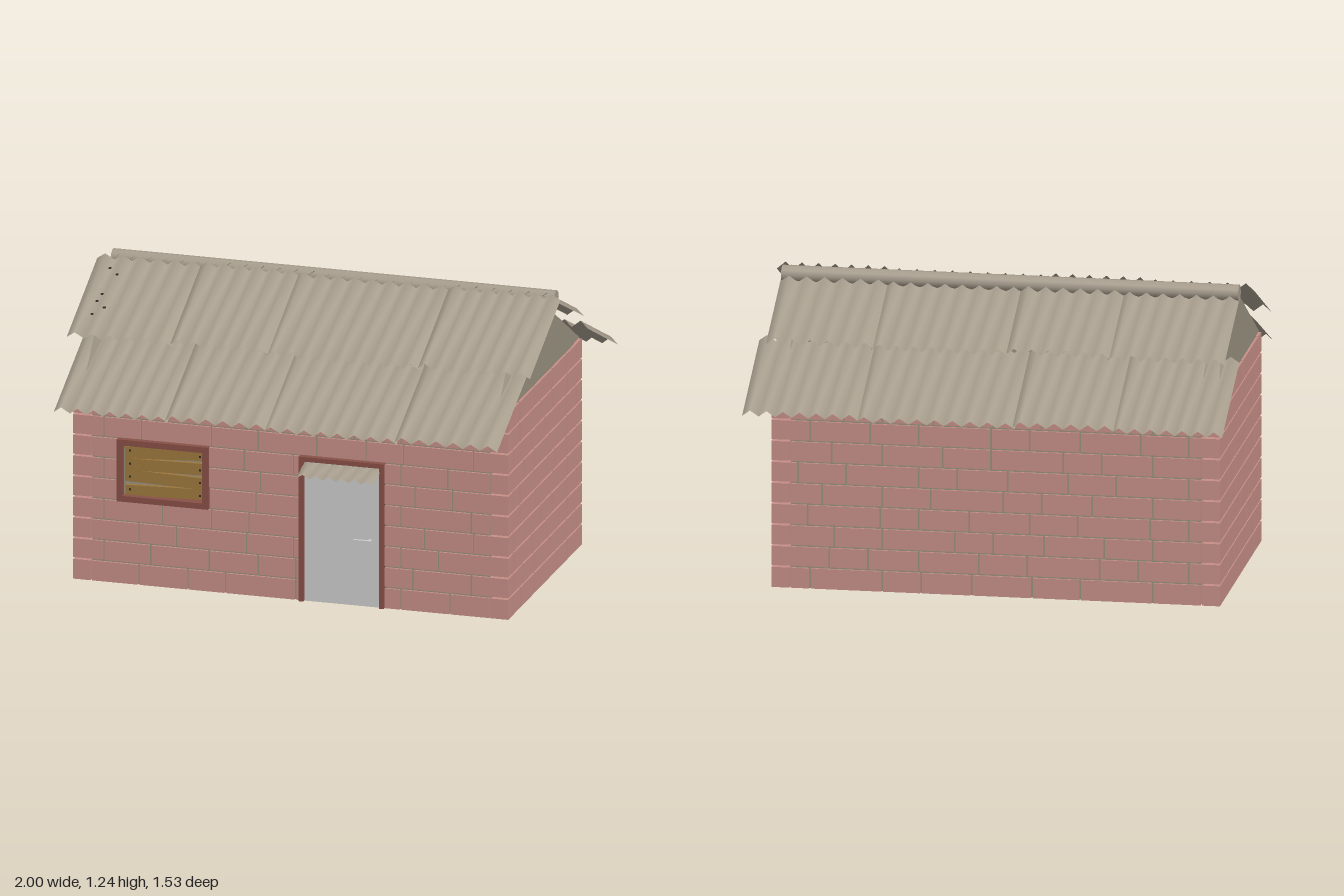
import * as THREE from 'three';

const mat = (color, side = THREE.FrontSide) => new THREE.MeshStandardMaterial({ color, side });
const brickMat = mat(0xc58e86), mortarMat = mat(0x968f7e), frameMat = mat(0x885046);
const plankMat = mat(0x9e783c), greyMat = mat(0xcccccc), holeMat = mat(0x2a2824);
const roofMat = mat(0xa69c8c, THREE.DoubleSide);

const X0 = -0.94, X1 = 0.92, Z0 = -0.505, Z1 = 0.53, H = 0.89, ROWS = 10;
const ROW = H / ROWS, DEPTH = 0.075, INSET = 0.01;

function add(parent, name, geometry, material) {
  const mesh = new THREE.Mesh(geometry, material);
  mesh.name = name;
  parent.add(mesh);
  return mesh;
}

// box given by its limits on each axis
function block(parent, name, material, x0, x1, y0, y1, z0, z1) {
  const mesh = add(parent, name, new THREE.BoxGeometry(x1 - x0, y1 - y0, z1 - z0), material);
  mesh.position.set((x0 + x1) / 2, (y0 + y1) / 2, (z0 + z1) / 2);
  return mesh;
}

function group(parent, name) {
  const g = new THREE.Group();
  g.name = name;
  parent.add(g);
  return g;
}

// zigzag sheet spanning x0..x1, running from [z, y] to [z, y] with z increasing
function sheet(parent, name, x0, x1, [za, ya], [zb, yb], amp = 0.015, period = 0.07) {
  const n = 2 * Math.max(1, Math.round((x1 - x0) / period));
  const len = Math.hypot(zb - za, yb - ya);
  const ny = (zb - za) / len, nz = -(yb - ya) / len;
  const pos = [], index = [];
  for (let i = 0; i <= n; i++) {
    const x = x0 + (x1 - x0) * i / n, d = i % 2 ? amp : -amp;
    pos.push(x, ya + d * ny, za + d * nz, x, yb + d * ny, zb + d * nz);
    if (i < n) {
      const a = 2 * i;
      index.push(a, a + 1, a + 2, a + 1, a + 3, a + 2);
    }
  }
  const geo = new THREE.BufferGeometry();
  geo.setAttribute('position', new THREE.Float32BufferAttribute(pos, 3));
  geo.setIndex(index);
  geo.computeVertexNormals();
  return add(parent, name, geo, roofMat);
}

// bricks of one row between a and b, leaving out the given openings
function brickRow(a, b, row, seed, openings, place) {
  const lengths = [0.21, 0.16, 0.3, 0.2, 0.25];
  let k = row * 3 + seed, start = a;
  let end = a + (row % 2 ? 0.13 : 0.2);
  while (start < b - 0.01) {
    if (b - end < 0.08) end = b;
    let pieces = [[start, end]];
    for (const [o0, o1, r0, r1] of openings) {
      if (row < r0 || row > r1) continue;
      pieces = pieces.flatMap(([p, q]) => [[p, Math.min(q, o0)], [Math.max(p, o1), q]]);
    }
    for (const [p, q] of pieces) {
      if (q - p > 0.015) place(p === a ? p : p + 0.004, q === b ? q : q - 0.004);
    }
    start = end;
    end += lengths[k++ % lengths.length];
  }
}

function buildWalls(parent) {
  const walls = group(parent, 'walls');
  // mortar core, front with openings for door and window
  const shape = new THREE.Shape();
  [[-0.86, 0], [0.045, 0], [0.045, 0.605], [0.375, 0.605], [0.375, 0], [0.84, 0], [0.84, H], [-0.86, H]]
    .forEach(([x, y], i) => (i ? shape.lineTo(x, y) : shape.moveTo(x, y)));
  const hole = new THREE.Path();
  hole.moveTo(-0.72, 0.38).lineTo(-0.72, 0.605).lineTo(-0.37, 0.605).lineTo(-0.37, 0.38);
  hole.closePath();
  shape.holes.push(hole);
  const front = add(walls, 'frontMortar',
    new THREE.ExtrudeGeometry(shape, { depth: DEPTH, bevelEnabled: false }), mortarMat);
  front.position.z = Z1 - INSET - DEPTH;
  block(walls, 'backMortar', mortarMat, -0.86, 0.84, 0, H, Z0 + INSET, Z0 + INSET + DEPTH);
  block(walls, 'leftMortar', mortarMat, X1 - INSET - DEPTH, X1 - INSET, 0, H, -0.43, 0.455);
  block(walls, 'rightMortar', mortarMat, X0 + INSET, X0 + INSET + DEPTH, 0, H, -0.43, 0.455);

  // brick courses, corners interlocking on alternate rows
  const bricks = group(walls, 'bricks');
  const openings = [[0.04, 0.385, 0, 6], [-0.74, -0.365, 4, 6]];
  for (let r = 0; r < ROWS; r++) {
    const y0 = r * ROW + (r ? 0.004 : 0), y1 = (r + 1) * ROW - 0.004;
    const long = r % 2 ? 0 : DEPTH + 0.005, side = r % 2 ? DEPTH + 0.005 : 0;
    brickRow(X0 + long, X1 - long, r, 0, openings, (p, q) =>
      block(bricks, 'brick', brickMat, p, q, y0, y1, Z1 - DEPTH, Z1));
    brickRow(X0 + long, X1 - long, r, 2, [], (p, q) =>
      block(bricks, 'brick', brickMat, p, q, y0, y1, Z0, Z0 + DEPTH));
    brickRow(Z0 + side, Z1 - side, r, 1, [], (p, q) =>
      block(bricks, 'brick', brickMat, X1 - DEPTH, X1, y0, y1, p, q));
    brickRow(Z0 + side, Z1 - side, r, 3, [], (p, q) =>
      block(bricks, 'brick', brickMat, X0, X0 + DEPTH, y0, y1, p, q));
  }

  // gable triangles above the side walls
  const tri = new THREE.Shape([[-Z1, H], [-Z0, H], [0, 1.195]].map(p => new THREE.Vector2(...p)));
  const gable = new THREE.ExtrudeGeometry(tri, { depth: DEPTH, bevelEnabled: false });
  gable.rotateY(Math.PI / 2);
  add(walls, 'leftGable', gable, mortarMat).position.x = X1 - INSET - DEPTH;
  add(walls, 'rightGable', gable, mortarMat).position.x = X0 + INSET;
}

function buildRoof(parent) {
  const roof = group(parent, 'roof');
  // each course: name, panel borders along x, upper-left and lower-right [z, y]
  const courses = [
    ['frontUpperSheet', [-1, -0.56, -0.15, 0.5, 0.98], [0, 1.22], [0.43, 1.015]],
    ['frontLowerSheet', [-0.955, -0.48, -0.06, 0.5, 0.94], [0.33, 1.0], [0.76, 0.8]],
    ['backUpperSheet', [-0.945, -0.47, -0.05, 0.51, 0.955], [-0.435, 1.015], [-0.01, 1.215]],
    ['backLowerSheet', [-0.99, -0.54, -0.13, 0.52, 1], [-0.76, 0.795], [-0.33, 1.0]],
  ];
  for (const [name, xs, [za, ya], [zb, yb]] of courses) {
    for (let i = 0; i < 4; i++) {
      const lift = i % 2 ? 0.007 : 0;
      sheet(roof, name, xs[i], xs[i + 1] + (i < 3 ? 0.01 : 0), [za, ya + lift], [zb, yb + lift]);
    }
  }
  // rounded ridge cap
  const ridge = add(roof, 'ridgeCap', new THREE.CylinderGeometry(0.035, 0.035, 1.895, 10), roofMat);
  ridge.rotation.z = Math.PI / 2;
  ridge.position.set(0.003, 1.205, -0.045);
  // small punctures in one sheet
  for (const [x, z] of [[-0.92, 0.08], [-0.88, 0.11], [-0.91, 0.22], [-0.92, 0.26], [-0.88, 0.29], [-0.92, 0.33]]) {
    const dot = add(roof, 'puncture', new THREE.CircleGeometry(0.007, 8), holeMat);
    dot.position.set(x, 1.236 - 0.477 * z, z);
    dot.rotation.x = -Math.PI / 2 + 0.445;
  }
}

// rectangular frame; sill is optional
function buildFrame(parent, name, x0, x1, y0, y1, w, z0, z1, sill) {
  const f = group(parent, name);
  block(f, 'leftJamb', frameMat, x1 - w, x1, y0, y1, z0, z1);
  block(f, 'rightJamb', frameMat, x0, x0 + w, y0, y1, z0, z1);
  block(f, 'lintel', frameMat, x0 + w, x1 - w, y1 - w, y1, z0, z1);
  if (sill) block(f, 'sill', frameMat, x0 + w, x1 - w, y0, y0 + w, z0, z1);
}

function buildDoor(parent) {
  const door = group(parent, 'door');
  buildFrame(door, 'doorFrame', 0.028, 0.392, 0, 0.623, 0.02, 0.45, 0.545, false);
  block(door, 'doorPanel', greyMat, 0.045, 0.375, 0, 0.605, 0.5, 0.53);
  block(door, 'handleLever', greyMat, 0.265, 0.34, 0.278, 0.292, 0.548, 0.56);
  block(door, 'handleStem', greyMat, 0.325, 0.338, 0.279, 0.291, 0.53, 0.55);
  sheet(door, 'doorCanopy', 0.045, 0.375, [0.53, 0.6], [0.632, 0.567], 0.009, 0.055);
}

function buildWindow(parent) {
  const win = group(parent, 'window');
  buildFrame(win, 'windowFrame', -0.75, -0.36, 0.356, 0.623, 0.025, 0.45, 0.545, true);
  // boards nailed across the opening: height, thickness in y, tilt
  for (const [y, h, tilt] of [[0.405, 0.045, 0.03], [0.46, 0.05, -0.025], [0.515, 0.05, 0.02], [0.572, 0.052, 0.06]]) {
    const plank = block(win, 'plank', plankMat, -0.722, -0.378, y - h / 2, y + h / 2, 0.505, 0.52);
    plank.rotation.z = tilt;
    for (const x of [-0.7, -0.4]) {
      block(win, 'nail', holeMat, x - 0.004, x + 0.004, y - 0.004, y + 0.004, 0.52, 0.523);
    }
  }
}

export function createModel() {
  const model = new THREE.Group();
  model.name = 'brickHut';
  buildWalls(model);
  buildRoof(model);
  buildDoor(model);
  buildWindow(model);
  return model;
}
